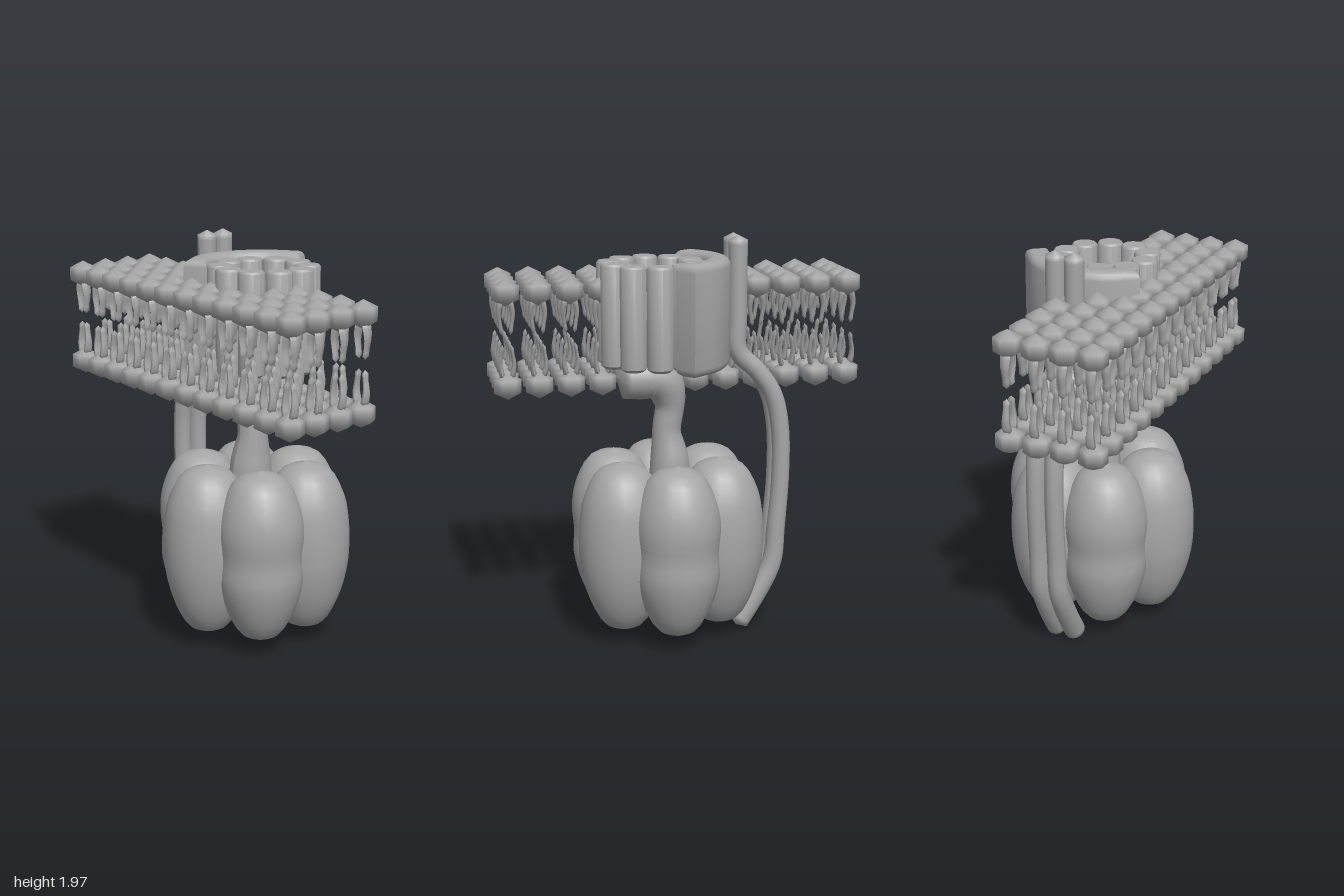
import * as THREE from 'three';
import { mergeGeometries, toCreasedNormals } from 'three/addons/utils/BufferGeometryUtils.js';

const V = (x, y, z = 0) => new THREE.Vector3(x, y, z);

// Tube along a path whose radius follows evenly spaced values; the ends close to a point.
function taperTube(points, radii, segs, sides, zScale = 1) {
  const curve = new THREE.CatmullRomCurve3(points);
  const geo = new THREE.TubeGeometry(curve, segs, 1, sides);
  const pos = geo.attributes.position;
  const p = new THREE.Vector3();
  for (let i = 0; i <= segs; i++) {
    const u = i / segs;
    const c = curve.getPointAt(u);
    const f = u * (radii.length - 1);
    const k = Math.min(Math.floor(f), radii.length - 2);
    const r = i === 0 || i === segs ? 0 : THREE.MathUtils.lerp(radii[k], radii[k + 1], f - k);
    for (let j = 0; j <= sides; j++) {
      const n = i * (sides + 1) + j;
      p.fromBufferAttribute(pos, n).sub(c).multiplyScalar(r);
      p.z *= zScale;
      p.add(c);
      pos.setXYZ(n, p.x, p.y, p.z);
    }
  }
  geo.computeVertexNormals();
  return geo;
}

// Rounded lobe turned from a smooth profile; waist pinches its middle.
function lobeGeometry(waist) {
  const pts = [[0, 0.1], [0.09, 0.125], [0.165, 0.25], [0.205, 0.4], [0.215 - waist, 0.52],
    [0.21, 0.65], [0.185, 0.78], [0.115, 0.9], [0, 0.94]].map(([r, y]) => V(r, y));
  const profile = new THREE.CatmullRomCurve3(pts).getPoints(24)
    .map((p) => new THREE.Vector2(Math.max(0, p.x), p.y));
  return new THREE.LatheGeometry(profile, 20);
}

// Head with two bowed tails hanging below, centred on the head.
function lipidGeometry() {
  const head = new THREE.SphereGeometry(0.075, 6, 3).scale(1, 0.87, 1);
  const tails = [-1, 1].map((s) => taperTube(
    [V(s * 0.02, -0.03), V(s * 0.033, -0.1), V(s * 0.027, -0.15), V(s * 0.02, -0.2)],
    [0.014, 0.014, 0.011, 0.009, 0.012], 10, 5, 1.7));
  return mergeGeometries([head, ...tails]);
}

export function createModel() {
  const model = new THREE.Group();
  const grey = new THREE.MeshStandardMaterial({ color: 0xa6a6a6 });
  const add = (name, geo, parent = model) => {
    const mesh = new THREE.Mesh(geo, grey);
    mesh.name = name;
    parent.add(mesh);
    return mesh;
  };
  const group = (name) => {
    const g = new THREE.Group();
    g.name = name;
    model.add(g);
    return g;
  };

  // Six lobes around the lower head
  const head = group('lobedHead');
  const lobes = [lobeGeometry(0), lobeGeometry(0.014)];
  for (let i = 0; i < 6; i++) {
    const a = Math.PI / 6 + i * Math.PI / 3;
    const lobe = add('lobe', lobes[(i + 1) % 2], head);
    lobe.position.set(0.068 + 0.275 * Math.cos(a), 0, 0.275 * Math.sin(a));
    lobe.rotation.y = -a;
  }

  // Central stalk, bent into a foot under the ring
  add('centralStalk', taperTube(
    [V(0.05, 0.3), V(0.05, 0.6), V(0.05, 0.9), V(0.065, 1.05), V(0.05, 1.2), V(0.1, 1.31), V(0.2, 1.32), V(0.31, 1.32)],
    [0.08, 0.09, 0.1, 0.112, 0.105, 0.094, 0.07, 0.07, 0.1, 0.11, 0.1], 44, 16, 1.08));

  // Ring of ten upright columns
  const ring = group('columnRing');
  const column = toCreasedNormals(new THREE.LatheGeometry(
    [[0, 1.385], [0.045, 1.385], [0.063, 1.4], [0.063, 1.87], [0.055, 1.88], [0, 1.88]]
      .map(([r, y]) => new THREE.Vector2(r, y)), 12), 0.7);
  for (let i = 0; i < 10; i++) {
    const a = Math.PI / 2 + i * Math.PI / 5;
    add('column', column, ring).position.set(0.135 + 0.204 * Math.cos(a), 0, -0.01 + 0.204 * Math.sin(a));
  }

  // Curved slab hugging the ring
  const mid = new THREE.CatmullRomCurve3([V(0.01, -0.3), V(-0.11, -0.2),
    V(-0.178, -0.045), V(-0.155, 0.12), V(-0.085, 0.215)]);
  const sides = [[], []];
  for (let i = 0; i <= 16; i++) {
    const p = mid.getPointAt(i / 16);
    const t = mid.getTangentAt(i / 16);
    [-1, 1].forEach((s, k) => sides[k].push(new THREE.Vector2(p.x - s * t.y * 0.02, p.y + s * t.x * 0.02)));
  }
  const slab = new THREE.ExtrudeGeometry(new THREE.Shape([...sides[0], ...sides[1].reverse()]), {
    depth: 0.45, bevelThickness: 0.038, bevelSize: 0.038, bevelSegments: 4 });
  slab.rotateX(Math.PI / 2).translate(0, 1.862, 0);
  add('curvedSlab', toCreasedNormals(slab, 0.8));

  // Pair of side stalks running from above the membrane to below the head
  const sideStalks = group('sideStalks');
  const stalk = taperTube(
    [V(-0.268, 2), V(-0.268, 1.8), V(-0.268, 1.6), V(-0.275, 1.44), V(-0.37, 1.34), V(-0.45, 1.22), V(-0.488, 1.05),
      V(-0.493, 0.8), V(-0.475, 0.55), V(-0.455, 0.36), V(-0.37, 0.19), V(-0.275, 0.04)],
    [0.046, 0.046, 0.046, 0.046, 0.045, 0.044, 0.044, 0.047, 0.052, 0.053], 90, 14);
  for (const z of [0.026, -0.07]) add('sideStalk', stalk, sideStalks).position.z = z;

  // Double layer of lipids, tails facing each other
  const membrane = group('membrane');
  const lipid = lipidGeometry();
  for (let i = 0; i < 12; i++) {
    for (let j = 0; j < 4; j++) {
      const x = (i - 5.5) * 0.151;
      const z = -0.013 + j * 0.134;
      add('upperLipid', lipid, membrane).position.set(x, 1.75, z);
      const lower = add('lowerLipid', lipid, membrane);
      lower.position.set(x, 1.305, z);
      lower.rotation.x = Math.PI;
    }
  }
  return model;
}
